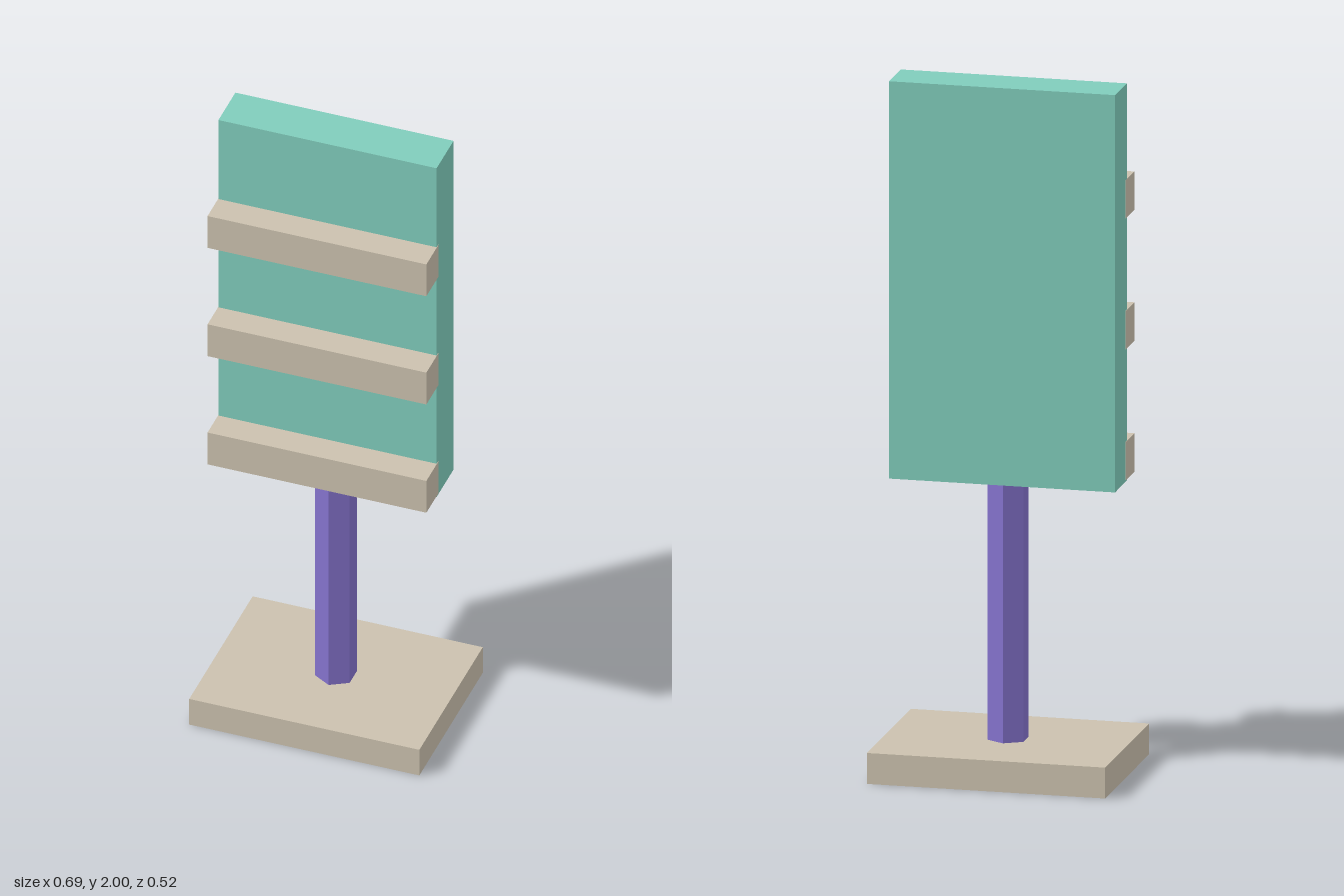
import * as THREE from 'three';

export function createModel() {
  const model = new THREE.Group();
  model.name = 'signStand';

  const material = (name, color) => {
    const m = new THREE.MeshStandardMaterial({ color });
    m.name = name;
    return m;
  };
  const beige = material('beige', 0xcbc1ae);
  const teal = material('teal', 0x80ccbb);
  const purple = material('purple', 0x8472cc);
  purple.flatShading = true;

  const add = (name, geometry, mat, y, z = 0) => {
    const mesh = new THREE.Mesh(geometry, mat);
    mesh.name = name;
    mesh.position.set(0, y, z);
    model.add(mesh);
  };

  // Base slab standing on the ground
  add('base', new THREE.BoxGeometry(0.692, 0.09, 0.516), beige, 0.045);

  // Six-sided post with corners facing front and back
  add('post', new THREE.CylinderGeometry(0.06, 0.06, 0.78, 6), purple, 0.47);

  // Upright panel
  add('panel', new THREE.BoxGeometry(0.656, 1.157, 0.138), teal, 1.4215);

  // Three slats let into the panel's front, a hair wider than it
  for (let i = 0; i < 3; i++) {
    add(`slat${i + 1}`, new THREE.BoxGeometry(0.658, 0.112, 0.1), beige, 0.904 + i * 0.381, 0.105);
  }

  return model;
}
